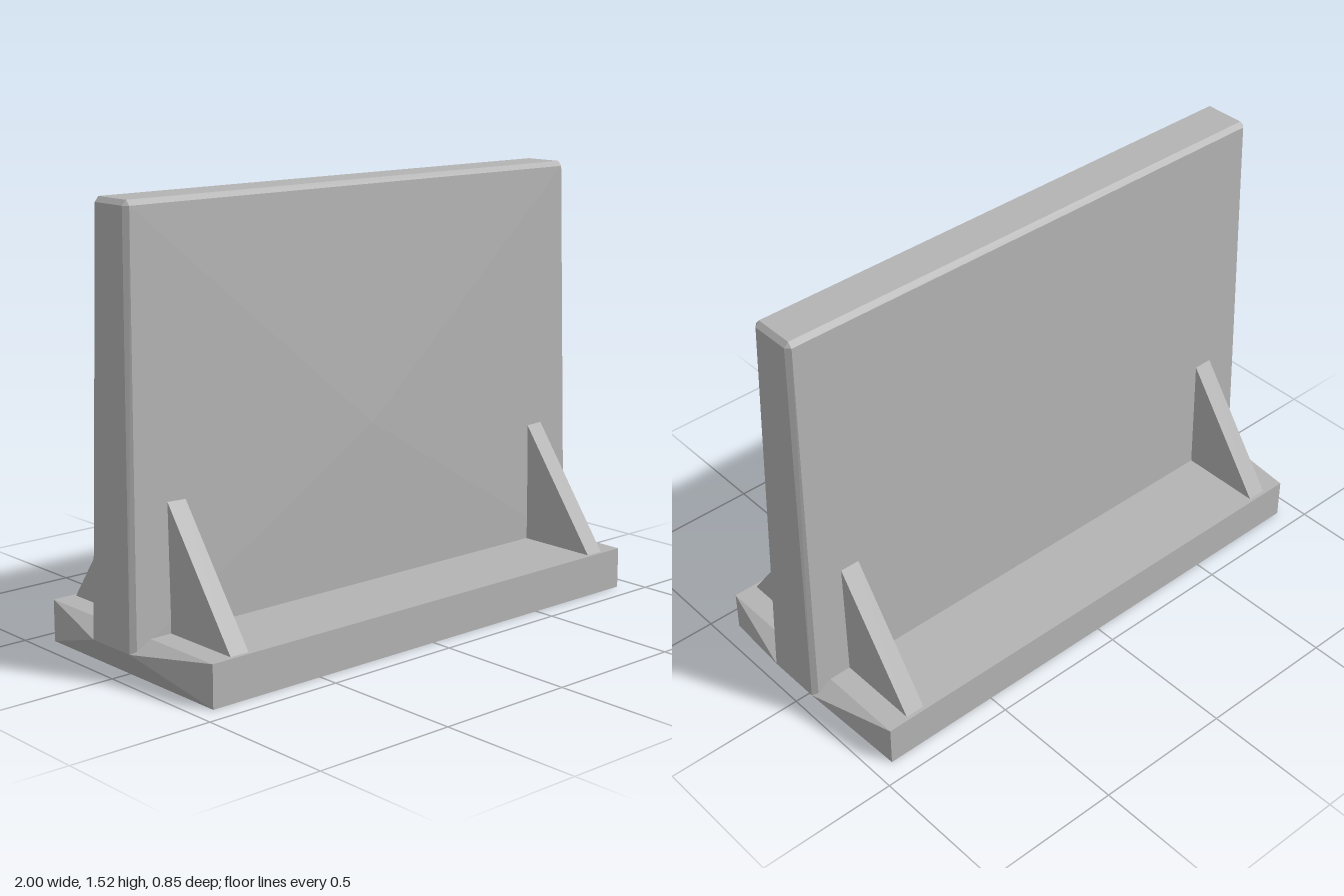
import * as THREE from 'three';
import { ConvexGeometry } from 'three/addons/geometries/ConvexGeometry.js';

const concrete = new THREE.MeshStandardMaterial({ color: 0xb4b4b4, flatShading: true });
concrete.name = 'concrete grey';

// Four corner points mirrored in x and z at one height
function corners(x, y, z) {
  const points = [];
  for (const sx of [-1, 1]) for (const sz of [-1, 1]) points.push(new THREE.Vector3(sx * x, y, sz * z));
  return points;
}

function addMesh(parent, name, geometry) {
  const mesh = new THREE.Mesh(geometry, concrete);
  mesh.name = name;
  parent.add(mesh);
  return mesh;
}

export function createModel() {
  const group = new THREE.Group();
  group.name = 'concreteBarrier';

  // Footing slab with ends that taper to a short ridge under the wall
  addMesh(group, 'footing', new ConvexGeometry([
    ...corners(0.93, 0, 0.427),
    ...corners(0.93, 0.145, 0.427),
    ...corners(1, 0.105, 0.098),
  ]));

  // Tapered wall with chamfered edges and a slight bulge on its front face
  addMesh(group, 'wall', new ConvexGeometry([
    ...corners(1, 0.105, 0.098),
    ...corners(0.983, 0.105, 0.113),
    ...corners(0.97, 1.5, 0.07),
    ...corners(0.955, 1.5, 0.087),
    ...corners(0.955, 1.517, 0.072),
    new THREE.Vector3(0, 0.7, 0.124),
  ]));

  // Triangular braces, two on each face of the wall
  const profile = new THREE.Shape([
    new THREE.Vector2(0.08, 0.13),
    new THREE.Vector2(0.424, 0.13),
    new THREE.Vector2(0.08, 0.61),
  ]);
  const brace = new THREE.ExtrudeGeometry(profile, { depth: 0.07, bevelEnabled: false });
  brace.translate(0, 0, -0.035);
  for (const side of [-1, 1]) {
    for (const face of [-1, 1]) {
      const name = (face > 0 ? 'front' : 'back') + (side > 0 ? 'Left' : 'Right') + 'Brace';
      const mesh = addMesh(group, name, brace);
      mesh.rotation.y = -face * Math.PI / 2;
      mesh.position.x = side * 0.815;
    }
  }
  return group;
}
